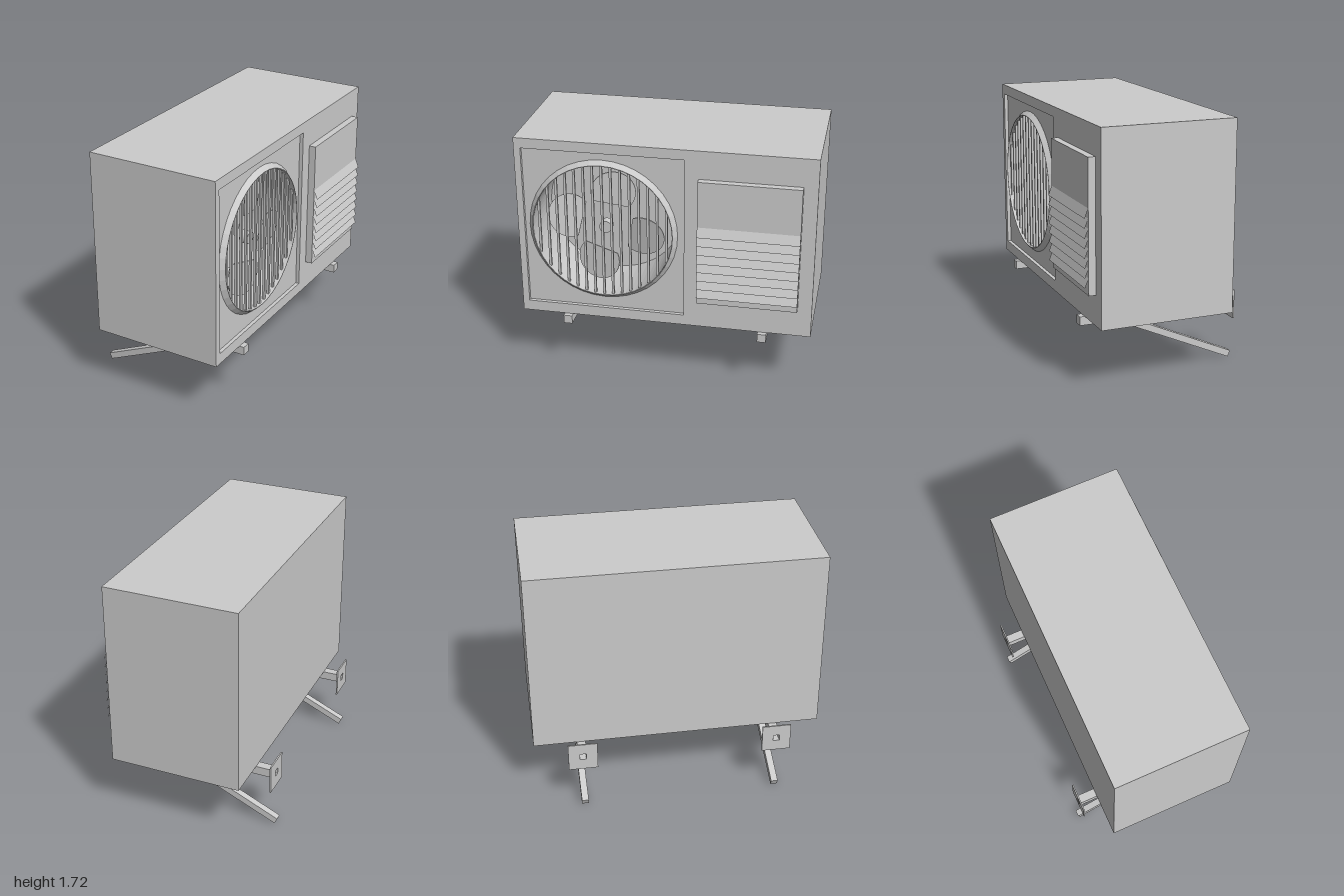
import * as THREE from 'three';

const material = new THREE.MeshStandardMaterial({ color: 0xcccccc, flatShading: true });
const thin = new THREE.MeshStandardMaterial({ color: 0xcccccc, flatShading: true, side: THREE.DoubleSide });

function add(parent, name, geometry, x = 0, y = 0, z = 0, mat = material) {
  const mesh = new THREE.Mesh(geometry, mat);
  mesh.name = name;
  mesh.position.set(x, y, z);
  parent.add(mesh);
  return mesh;
}

function rect(Type, u0, u1, v0, v1) {
  return new Type([[u0, v0], [u1, v0], [u1, v1], [u0, v1]].map(p => new THREE.Vector2(...p)));
}

function extrude(shape, depth) {
  return new THREE.ExtrudeGeometry(shape, { depth, bevelEnabled: false, curveSegments: 40 });
}

const FAN = { u: -0.418, v: 1.09, r: 0.475, rim: 0.507 };
const FACE = 0.497, FLOOR = 0.472, BORE = 0.07, BACK = -0.42;

// Built facing local +z, then turned so the working face looks along +x
function buildCabinet() {
  const g = new THREE.Group();
  g.name = 'cabinet';
  g.rotation.y = Math.PI / 2;
  const outline = () => rect(THREE.Shape, -1, 1, 0.435, 1.72);

  // Solid rear, bored middle and framed front layers of the housing
  add(g, 'housingRear', extrude(outline(), BORE - BACK), 0, 0, BACK);
  const bored = outline();
  bored.holes.push(new THREE.Path().absarc(FAN.u, FAN.v, FAN.r, 0, Math.PI * 2, true));
  add(g, 'housingFanBore', extrude(bored, FLOOR - BORE), 0, 0, BORE);
  const framed = outline();
  framed.holes.push(rect(THREE.Path, -0.955, 0.135, 0.51, 1.65));
  add(g, 'housingFrontFrame', extrude(framed, FACE - FLOOR), 0, 0, FLOOR);

  // Sloped ring around the fan opening
  const ring = new THREE.LatheGeometry([
    new THREE.Vector2(FAN.r, 0), new THREE.Vector2(FAN.rim, 0),
    new THREE.Vector2(FAN.r + 0.004, 0.033), new THREE.Vector2(FAN.r, 0.033),
    new THREE.Vector2(FAN.r, 0)], 40);
  ring.rotateX(Math.PI / 2);
  add(g, 'fanRing', ring, FAN.u, FAN.v, FLOOR);

  // Upright grille bars cut to the circle
  for (let i = -7; i <= 7; i++) {
    const du = i * 0.062;
    const length = 2 * Math.sqrt(FAN.r ** 2 - du ** 2);
    add(g, 'grilleBar', new THREE.BoxGeometry(0.016, length, 0.016), FAN.u + du, FAN.v, 0.482);
  }

  // Four-bladed fan
  const fan = new THREE.Group();
  fan.name = 'fan';
  fan.position.set(FAN.u, FAN.v - 0.007, 0.38);
  g.add(fan);
  const hub = new THREE.CylinderGeometry(0.043, 0.043, 0.06, 20).rotateX(Math.PI / 2);
  add(fan, 'fanHub', hub);
  const tangent = Math.asin(0.15 / 0.257);
  const outlineBlade = new THREE.Shape();
  outlineBlade.moveTo(0, 0);
  outlineBlade.absarc(0, 0.257, 0.15, -tangent, Math.PI + tangent, false);
  const blade = extrude(outlineBlade, 0.008).rotateY(0.2);
  for (let i = 0; i < 4; i++) {
    add(fan, 'fanBlade', blade).rotation.z = -0.21 + i * Math.PI / 2;
  }

  // Side panel with sloped louvres
  add(g, 'louvrePanel', new THREE.BoxGeometry(0.675, 0.885, 0.048), 0.568, 1.0825, FACE + 0.024);
  const pitch = 0.064, reach = 0.025;
  for (let i = 0; i < 8; i++) {
    const louvre = new THREE.PlaneGeometry(0.675, Math.hypot(pitch, reach));
    const y = 1.205 - (i + 0.5) * pitch;
    add(g, 'louvre', louvre, 0.568, y, 0.545 + reach / 2, thin).rotation.x = -Math.atan2(reach, pitch);
  }
  return g;
}

// Wall bracket: hollow arm, wall plate and diagonal strut
function buildBracket(z) {
  const g = new THREE.Group();
  g.name = 'wallBracket';
  g.position.z = z;

  const square = (half, hole) => {
    const s = rect(THREE.Shape, -half, half, -half, half);
    s.holes.push(rect(THREE.Path, -hole, hole, -hole, hole));
    return s;
  };
  const arm = extrude(square(0.03, 0.022), 1.06).rotateY(Math.PI / 2);
  add(g, 'bracketArm', arm, -0.55, 0.405, 0);
  add(g, 'armEndCap', new THREE.BoxGeometry(0.02, 0.06, 0.06), 0.52, 0.405, 0);
  const plate = extrude(square(0.1, 0.022), 0.01).rotateY(Math.PI / 2);
  add(g, 'wallPlate', plate, -0.555, 0.405, 0);

  const angle = 0.422, length = 0.9;
  const strut = new THREE.BoxGeometry(length, 0.045, 0.047).translate(length / 2, 0, 0);
  add(g, 'bracketStrut', strut, -0.565, 0.0206, 0).rotation.z = angle;
  return g;
}

export function createModel() {
  const model = new THREE.Group();
  model.name = 'outdoorCoolingUnit';
  model.add(buildCabinet());
  for (const z of [-0.674, 0.674]) model.add(buildBracket(z));
  return model;
}
